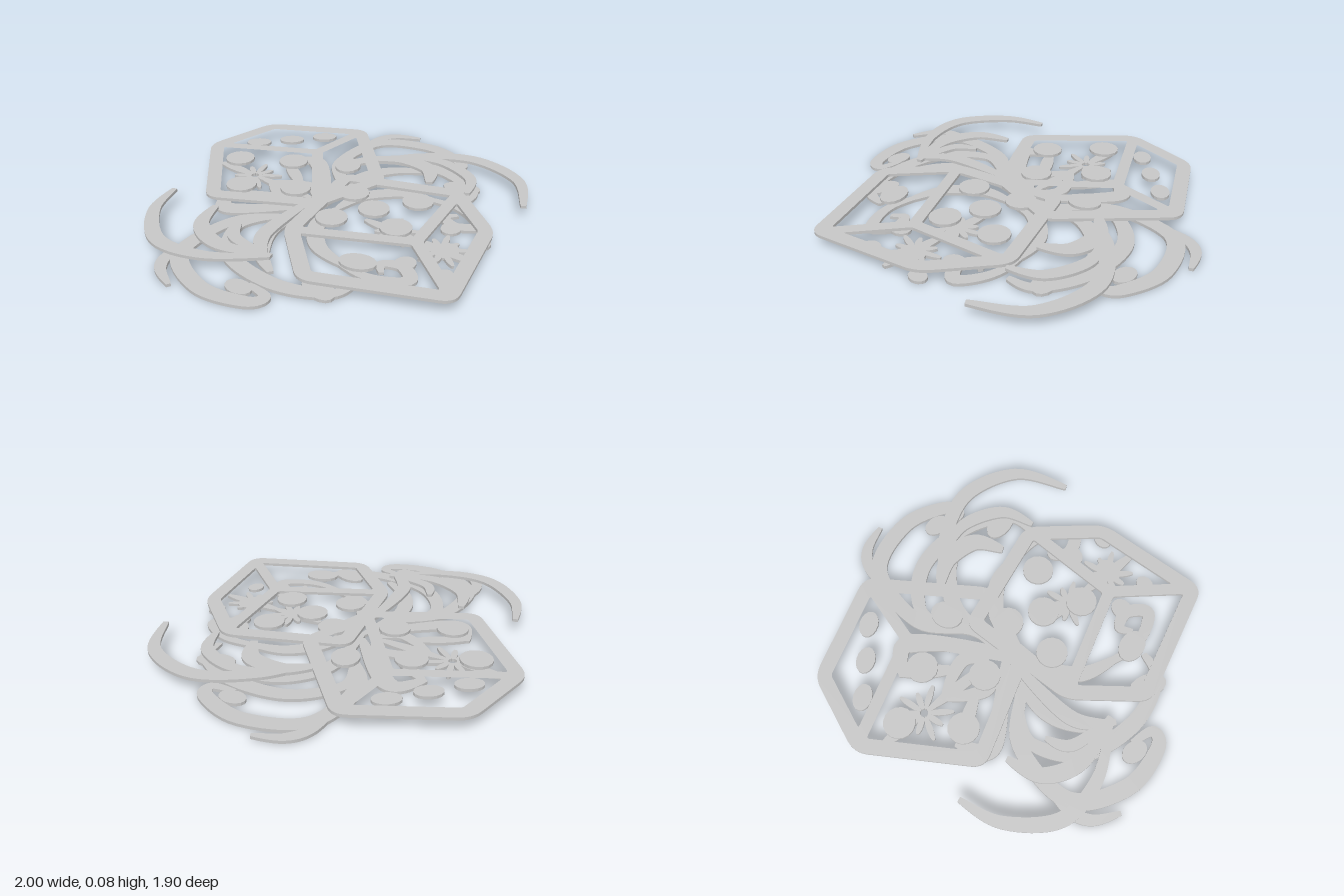
import * as THREE from 'three';

const grey = new THREE.MeshStandardMaterial({ color: 0xc6c6c6 });
grey.name = 'plain grey';
const T = 0.015;      // plate thickness
const UPPER = 0.063;  // height of the upper layer

// Plan coordinates are hundredths of a unit, as x and z.
const v = (x, z) => new THREE.Vector2(x / 100, -z / 100);

function plate(parent, name, shape, y) {
  const geo = new THREE.ExtrudeGeometry(shape, { depth: T, bevelEnabled: false, curveSegments: 8 });
  geo.rotateX(-Math.PI / 2);
  const mesh = new THREE.Mesh(geo, grey);
  mesh.name = name;
  mesh.position.y = y;
  parent.add(mesh);
}

// Polygon with rounded corners
function rounded(corners, r, path) {
  const n = corners.length;
  corners.forEach((p, i) => {
    const s = corners[(i + n - 1) % n].clone().sub(p).setLength(r).add(p);
    const e = corners[(i + 1) % n].clone().sub(p).setLength(r).add(p);
    if (i) path.lineTo(s.x, s.y); else path.moveTo(s.x, s.y);
    path.quadraticCurveTo(p.x, p.y, e.x, e.y);
  });
  path.closePath();
  return path;
}

// Curved ribbon, widest in the middle and tapering to both ends
function ribbon(parent, name, w, pts, y) {
  const curve = new THREE.SplineCurve(pts.map(p => v(...p)));
  const left = [], right = [], n = pts.length * 7;
  for (let i = 0; i <= n; i++) {
    const p = curve.getPoint(i / n), d = curve.getTangent(i / n);
    const k = w / 100 * (0.35 + 0.65 * Math.sin(Math.PI * i / n));
    left.push(new THREE.Vector2(p.x - d.y * k, p.y + d.x * k));
    right.unshift(new THREE.Vector2(p.x + d.y * k, p.y - d.x * k));
  }
  plate(parent, name, new THREE.Shape(left.concat(right)), y);
}

function disc(parent, name, x, z, rx, rz, turn, y) {
  const p = v(x, z), s = new THREE.Shape();
  s.absellipse(p.x, p.y, rx / 100, rz / 100, 0, Math.PI * 2, false, turn);
  plate(parent, name, s, y);
}

// Opening of a die face: wide along the rim, narrow along the inner spokes (last corner is the hub)
function opening(face) {
  const c = face.reduce((a, p) => a.add(p), new THREE.Vector2()).divideScalar(4);
  const lines = face.map((p, i) => {
    const q = face[(i + 1) % 4], d = q.clone().sub(p).normalize();
    const n = new THREE.Vector2(-d.y, d.x);
    if (n.dot(c.clone().sub(p)) < 0) n.negate();
    return { p: p.clone().addScaledVector(n, i < 2 ? 0.075 : 0.03), d };
  });
  return lines.map((b, i) => {
    const a = lines[(i + 3) % 4];
    return a.p.clone().addScaledVector(a.d, b.p.clone().sub(a.p).cross(b.d) / a.d.cross(b.d));
  });
}

// Die outline with three spokes running from the hub to every second corner
function die(name, outline, hub) {
  const group = new THREE.Group();
  group.name = name;
  const o = outline.map(p => v(...p)), h = v(...hub);
  const shape = rounded(o, 0.07, new THREE.Shape());
  for (const i of [0, 2, 4]) {
    shape.holes.push(rounded(opening([o[i], o[i + 1], o[(i + 2) % 6], h]), 0.015, new THREE.Path()));
  }
  plate(group, 'dieFrame', shape, UPPER);
  return group;
}

// Ragged star of pointed leaves
function leafStar(parent, z, size) {
  for (let i = 0; i < 10; i++) {
    const a = (i + 0.5) * Math.PI / 5, r = size * (i % 2 ? 1 : 0.75);
    const c = Math.cos(a), s = Math.sin(a);
    ribbon(parent, 'leaf', 1.6, [[c * 2, z + s * 2], [c * r, z + s * r]], 0);
  }
}

export function createModel() {
  const model = new THREE.Group();
  model.name = 'diceOrnament';

  // Two dice outlines
  const rear = die('rearDie', [[4, -96], [48, -89], [77, -38], [30, 11], [-13, 0], [-42, -51]], [35, -41]);
  const front = die('frontDie', [[-40, 1], [-68, 34], [-39, 96], [21, 81], [47, 47], [23, -13]], [-10, 57]);
  model.add(rear, front);

  // Pips: round on the large faces, oval on the slanted ones
  const pip = (die, x, z, rx = 8, rz = rx, turn = 0) => disc(die, 'pip', x, z, rx, rz, turn, UPPER);
  [[2, -70], [-20, -47], [18, -44], [-5, -22]].forEach(p => pip(rear, ...p));
  [-1, 0, 1].forEach(i => pip(rear, 39 + 15 * i, -64 + 12.5 * i, 4.8, 7, 0.7));
  pip(rear, 33, -17, 8.5, 7, 0.4);
  [[-17, 12], [10, 5], [3, 23], [-5, 42], [23, 36]].forEach(p => pip(front, ...p));
  pip(front, -40, 46, 6.3, 8.8, 0.35);

  // Upper claws sweeping out on both sides
  const claws = new THREE.Group();
  claws.name = 'upperClaws';
  const claw = (w, ...pts) => ribbon(claws, 'claw', w, pts, UPPER);
  claw(3.8, [-46, -70], [-67, -61], [-84, -38], [-80, -12], [-62, 12]);
  claw(4.2, [-45, -40], [-62, -32], [-69, -12], [-61, 13]);
  claw(3, [-49, -19], [-60, -11], [-62, 12]);
  claw(3.8, [-63, 10], [-48, -3], [-8, -7]);
  claw(4, [52, 80], [76, 64], [83, 34], [68, 8], [50, -6]);
  claw(5, [44, 29], [57, 20], [58, 3], [48, -10]);
  claw(3.5, [46, 51], [62, 43], [69, 22], [62, 3]);
  model.add(claws);

  // Lower flourishes, mirrored left and right
  for (const side of [1, -1]) {
    const half = new THREE.Group();
    half.name = side > 0 ? 'leftFlourish' : 'rightFlourish';
    const scroll = (w, ...pts) => ribbon(half, 'scroll', w, pts.map(([x, z]) => [x * side, z]), 0);
    const bud = (x, z, rx, rz, turn) => disc(half, 'scrollBud', x * side, z, rx, rz, turn * side, 0);
    // Outer arm with its curl and side hook
    scroll(4.3, [0, -6], [20, -11], [42, -30], [78, -29], [92, -2], [87, 22], [79, 26], [77, 14]);
    scroll(3, [62, -32], [82, -32], [93, -26], [99.2, -13]);
    bud(81, 12, 5, 7, 0);
    // Middle arm
    scroll(4.3, [28, -18], [46, -25], [66, -8], [70, 22], [60, 46], [46, 50]);
    bud(60, 40, 6, 10, 0.3);
    // Horizontal arm and inner spiral
    scroll(4.2, [0, -6], [34, -10], [54, 0], [64, 15]);
    scroll(4.4, [0, 2], [18, 4], [34, 18], [39, 38]);
    scroll(3.4, [34, 16], [40, 48], [31, 67], [23, 59], [27, 50], [33, 54]);
    bud(20, 58, 6, 5, 0);
    bud(17, 77, 5, 4, 0);
    // Inner plumes beside the stem
    scroll(5, [4, -8], [28, -32], [35, -45], [22, -54]);
    scroll(3.5, [24, -54], [16, -42], [8, -30]);
    scroll(3.6, [2, -14], [10, -25], [1, -44]);
    model.add(half);
  }

  // Central stem with leaf stars
  const stem = new THREE.Group();
  stem.name = 'centreStem';
  [[-83, -60], [-52, -16], [20, 50], [48, 83]].forEach(([a, b]) =>
    ribbon(stem, 'stemLeaf', 3, [[0, a], [0, b]], 0));
  [[-57, 15], [38, 13], [65, 14]].forEach(([z, size]) => leafStar(stem, z, size));
  disc(stem, 'stemBud', 1, 67, 7, 6, 0, 0);
  model.add(stem);
  return model;
}
